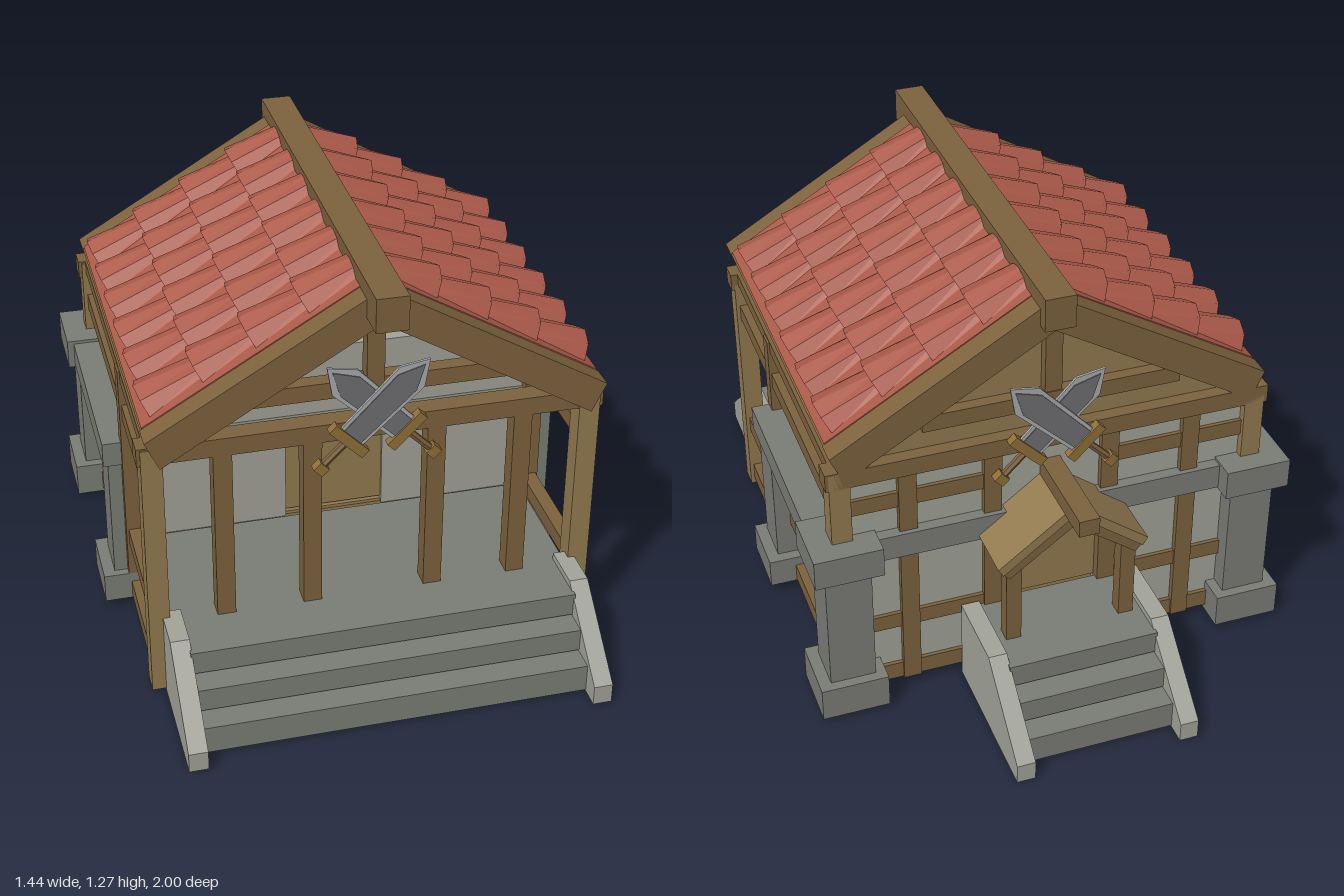
import * as THREE from 'three';

const mat = (color) => new THREE.MeshStandardMaterial({ color, flatShading: true, side: THREE.DoubleSide });
const M = {
  stone: mat(0x7b7d76), wall: mat(0xa2a399), wood: mat(0x7d623e), plank: mat(0x937a50),
  tile: mat(0xab5a4a), steel: mat(0x6f6f72), edge: mat(0xa9abae), gold: mat(0x8f7038),
};

export function createModel() {
  const root = new THREE.Group();

  const add = (name, geometry, material, parent = root) => {
    const mesh = new THREE.Mesh(geometry, material);
    mesh.name = name;
    parent.add(mesh);
    return mesh;
  };
  // Box given by its limits
  const box = (name, m, x0, x1, y0, y1, z0, z1) => {
    const mesh = add(name, new THREE.BoxGeometry(x1 - x0, y1 - y0, z1 - z0), m);
    mesh.position.set((x0 + x1) / 2, (y0 + y1) / 2, (z0 + z1) / 2);
    return mesh;
  };
  // The same box on both sides of x = 0
  const pair = (name, m, x0, x1, ...rest) => {
    box(name, m, x0, x1, ...rest);
    box(name, m, -x1, -x0, ...rest);
  };
  const shapeOf = (pts) => new THREE.Shape(pts.map(([x, y]) => new THREE.Vector2(x, y)));
  // Outline in x, y swept from z0 to z1
  const sweep = (name, m, pts, z0, z1, parent) => {
    const g = new THREE.ExtrudeGeometry(shapeOf(pts), { depth: z1 - z0, bevelEnabled: false });
    return add(name, g.translate(0, 0, z0), m, parent);
  };
  const sweepPair = (name, m, pts, z0, z1) => {
    sweep(name, m, pts, z0, z1);
    sweep(name, m, pts.map(([x, y]) => [-x, y]), z0, z1);
  };

  // Stairs with sloped cheek walls; dir is +1 at the front and -1 at the back
  const stairs = (halfWidth, dir, zIn) => {
    [[0, 0.09, 0.94], [0.09, 0.165, 0.87], [0.165, 0.24, 0.8]].forEach(([y0, y1, zOut]) => {
      const [a, b] = [zIn * dir, zOut * dir];
      box('step', M.stone, -halfWidth, halfWidth, y0 + 0.005, y1, Math.min(a, b), Math.max(a, b));
    });
    const profile = [[zIn + 0.02, 0], [1, 0], [1, 0.06], [0.76, 0.26], [zIn + 0.02, 0.26]];
    const g = new THREE.ExtrudeGeometry(shapeOf(profile.map(([z, y]) => [z * dir, y])),
      { depth: 0.055, bevelEnabled: false }).rotateY(-Math.PI / 2);
    for (const x of [halfWidth + 0.05, -halfWidth + 0.005]) add('stairCheek', g, M.wall).position.x = x;
  };
  stairs(0.56, 1, 0.6);
  stairs(0.225, -1, 0.5);

  // Porch platform and room floor
  box('porchFloor', M.stone, -0.585, 0.585, 0.005, 0.24, 0.22, 0.61);
  box('roomFloor', M.plank, -0.58, 0.58, 0.03, 0.23, -0.47, 0.18);
  box('floorBeam', M.wood, -0.6, 0.6, 0.01, 0.22, 0.18, 0.22);

  // Plaster walls and doors
  pair('sideWall', M.wall, 0.57, 0.605, 0.04, 0.82, -0.48, 0.18);
  for (const [z0, z1] of [[0.15, 0.19], [-0.5, -0.46]]) {
    pair('endWall', M.wall, 0.15, 0.6, 0.04, 0.8, z0, z1);
    box('wallOverDoor', M.wall, -0.15, 0.15, 0.55, 0.8, z0, z1);
    box('door', M.plank, -0.15, 0.15, 0.24, 0.55, z0 + 0.01, z1 - 0.01);
  }
  sweep('backGablePanel', M.plank, [[-0.6, 0.8], [0.6, 0.8], [0, 1.17]], -0.485, -0.46);

  // Timber frame: corner posts, end posts and rails
  for (const [z0, z1] of [[0.585, 0.65], [-0.525, -0.46]])
    pair('cornerPost', M.plank, 0.59, 0.65, 0.01, 0.82, z0, z1);
  pair('middlePost', M.wood, 0.59, 0.645, 0.03, 0.82, 0.175, 0.225);
  for (const x of [0.15, 0.4]) {
    pair('frontPost', M.wood, x, x + 0.053, 0.24, 0.79, 0.59, 0.645);
    pair('backPost', M.wood, x, x + 0.053, 0.03, 0.79, -0.52, -0.47);
  }
  for (const [y0, y1] of [[0.03, 0.085], [0.225, 0.275], [0.66, 0.71], [0.785, 0.825]]) {
    pair('sideRail', M.wood, 0.595, 0.638, y0, y1, -0.47, 0.6);
    if (y1 < 0.75) pair('backRail', M.wood, 0.17, 0.6, y0, y1, -0.512, -0.47);
  }

  // Gable trusses
  const barge = [[0, 1.255], [0.645, 0.875], [0.605, 0.79], [0, 1.15]];
  for (const [z, zBarge] of [[0.585, 0.63], [-0.525, -0.525]]) {
    box('tieBeam', M.wood, -0.66, 0.66, 0.77, 0.825, z, z + 0.06);
    box('collarBeam', M.wood, -0.38, 0.38, 0.9, 0.95, z + 0.005, z + 0.05);
    box('kingPost', M.wood, -0.025, 0.025, 0.82, 1.18, z + 0.008, z + 0.055);
    sweepPair('bargeBoard', M.wood, barge, zBarge, zBarge + 0.07);
  }

  // Stone piers, caps and the band between them
  pair('backPier', M.stone, 0.55, 0.685, 0.1, 0.5, -0.56, -0.42);
  pair('backPierBase', M.stone, 0.52, 0.72, 0.01, 0.115, -0.59, -0.39);
  pair('backPierCap', M.stone, 0.52, 0.72, 0.495, 0.587, -0.59, -0.39);
  pair('frontPier', M.stone, 0.55, 0.685, 0.1, 0.51, 0.06, 0.2);
  pair('frontPierBase', M.stone, 0.53, 0.72, 0.025, 0.115, 0.025, 0.225);
  pair('sideBand', M.stone, 0.55, 0.7, 0.5, 0.577, -0.4, 0.213);
  box('frontBand', M.stone, -0.56, 0.56, 0.5, 0.578, 0.13, 0.213);
  box('backBand', M.stone, -0.53, 0.53, 0.5, 0.578, -0.535, -0.47);

  // Roof deck, eaves and ridge beam
  sweepPair('roofDeck', M.tile, [[0, 1.258], [0.64, 0.882], [0.63, 0.862], [0, 1.235]], -0.455, 0.63);
  sweepPair('roofLining', M.wood, [[0, 1.235], [0.63, 0.862], [0.618, 0.835], [0, 1.2]], -0.455, 0.63);
  sweepPair('eaveBoard', M.wood, [[0.643, 0.874], [0.604, 0.791], [0.575, 0.808], [0.614, 0.891]], -0.52, 0.695);
  box('ridgeBeam', M.wood, -0.045, 0.045, 1.175, 1.275, -0.56, 0.79);

  // Roof tile: faceted arch, tall and wide at its lower end
  const arc = [[-1, 0], [-0.62, 0.7], [0, 1], [0.62, 0.7], [1, 0]];
  const crescent = [...arc, ...arc.map(([x, y]) => [x * 0.84, y * 0.78]).reverse()];
  const tileGeo = new THREE.ExtrudeGeometry(shapeOf(crescent), { depth: 1, bevelEnabled: false });
  const p = tileGeo.attributes.position;
  for (let i = 0; i < p.count; i++) {
    const t = p.getZ(i);
    p.setXYZ(i, p.getX(i) * (0.087 - 0.027 * t), p.getY(i) * (0.062 - 0.042 * t), t * 0.195);
  }
  tileGeo.computeVertexNormals();
  const pitch = Math.atan(0.59), s = Math.sin(pitch), c = Math.cos(pitch);
  for (const side of [1, -1]) {
    const slope = new THREE.Matrix4().makeBasis(
      new THREE.Vector3(0, 0, side), new THREE.Vector3(side * s, c, 0), new THREE.Vector3(-side * c, s, 0));
    for (let row = 0; row < 4; row++) for (let col = 0; col < 6; col++) {
      const tile = add('roofTile', tileGeo, M.tile);
      tile.quaternion.setFromRotationMatrix(slope);
      tile.position.set(side * (0.61 - 0.145 * row), 0.896 + 0.0856 * row, 0.522 - 0.175 * col);
    }
  }

  // Canopy over the back door
  pair('canopyPost', M.wood, 0.15, 0.195, 0.24, 0.53, -0.685, -0.64);
  sweepPair('canopyRoof', M.plank, [[0, 0.685], [0.225, 0.515], [0.21, 0.49], [0, 0.65]], -0.7, -0.5);
  sweepPair('canopyRafter', M.wood, [[0, 0.66], [0.216, 0.5], [0.19, 0.47], [0, 0.61]], -0.695, -0.625);
  box('canopyRidge', M.wood, -0.03, 0.03, 0.66, 0.712, -0.805, -0.5);

  // Crossed swords on each gable
  const sword = () => {
    const g = new THREE.Group();
    g.name = 'sword';
    const blade = (w, tip, low) => [[-w * 0.85, low], [w * 0.85, low], [w, tip - 0.07], [0, tip], [-w, tip - 0.07]];
    sweep('bladeEdge', M.edge, blade(0.05, 0.44, 0.13), -0.004, 0.004, g);
    sweep('bladeCore', M.steel, blade(0.038, 0.42, 0.135), -0.007, 0.007, g);
    add('guard', new THREE.BoxGeometry(0.13, 0.03, 0.026), M.gold, g).position.y = 0.122;
    add('grip', new THREE.CylinderGeometry(0.011, 0.011, 0.1, 6), M.wood, g).position.y = 0.065;
    add('pommel', new THREE.BoxGeometry(0.034, 0.03, 0.028), M.gold, g).position.y = 0.012;
    return g;
  };
  for (const [z, dir] of [[0.658, 1], [-0.54, -1]]) for (const side of [1, -1]) {
    const blade = sword();
    blade.position.set(-0.17 * side, 0.7, z + dir * (side > 0 ? 0.014 : 0));
    blade.rotation.z = -side * Math.PI / 4;
    root.add(blade);
  }
  return root;
}
